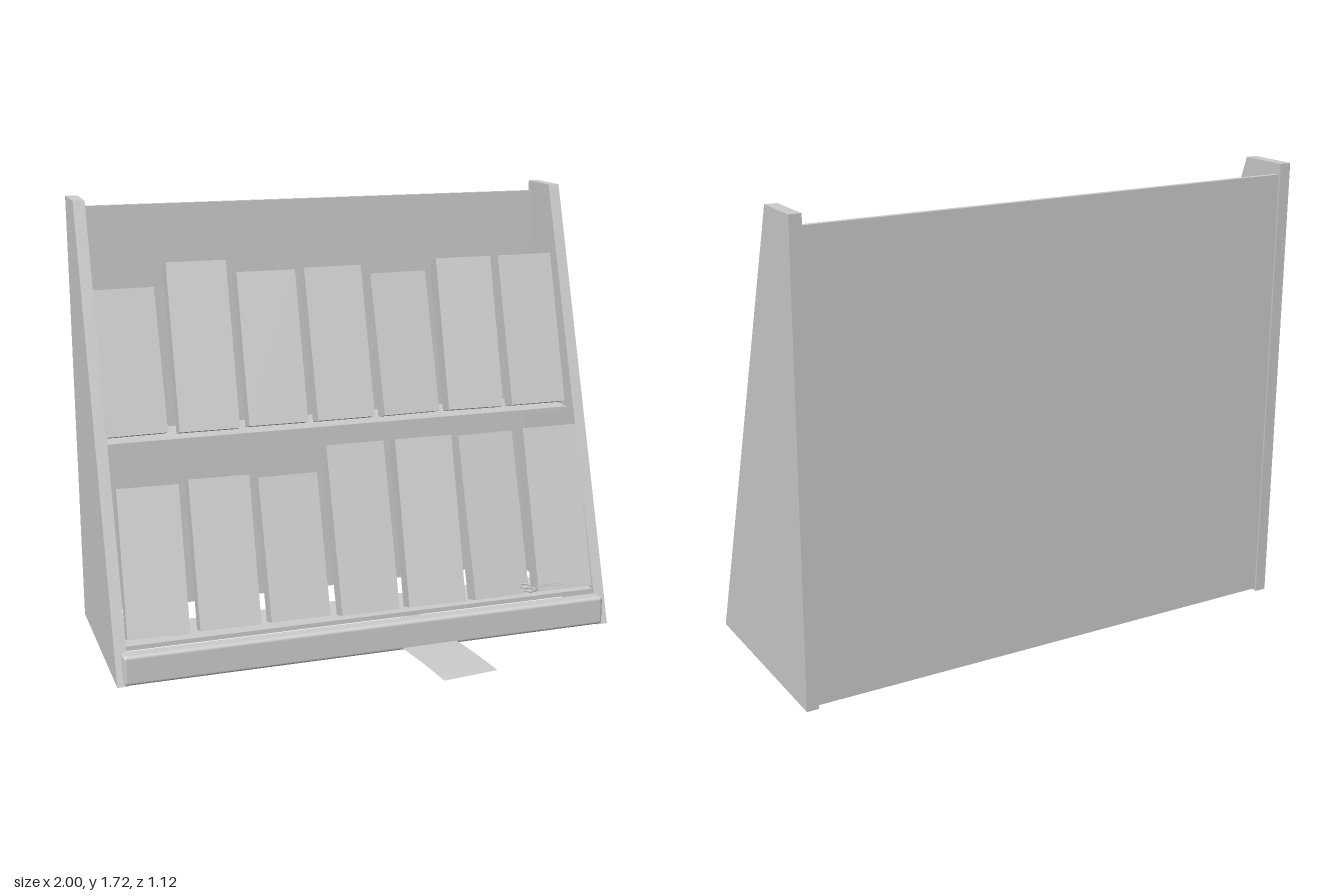
import * as THREE from 'three';
import { RoundedBoxGeometry } from 'three/addons/geometries/RoundedBoxGeometry.js';

export function createModel() {
  const model = new THREE.Group();
  const grey = new THREE.MeshStandardMaterial({ color: 0xcccccc });
  grey.name = 'matte grey';

  const add = (name, geometry, x = 0, y = 0, z = 0, parent = model) => {
    const mesh = new THREE.Mesh(geometry, grey);
    mesh.name = name;
    mesh.position.set(x, y, z);
    parent.add(mesh);
    return mesh;
  };
  const box = (w, h, d) => new THREE.BoxGeometry(w, h, d);

  // Sloped side panels: profile drawn in (-z, y), extruded along x
  const profile = new THREE.Shape();
  profile.moveTo(-0.215, 0);
  profile.lineTo(0.56, 0);
  profile.lineTo(0.56, 1.72);
  profile.lineTo(0.365, 1.72);
  profile.closePath();
  const side = new THREE.ExtrudeGeometry(profile, { depth: 0.045, bevelEnabled: false });
  side.rotateY(Math.PI / 2);
  add('leftSidePanel', side, 0.955);
  add('rightSidePanel', side, -1);

  // Back panel, shelves and the rounded front rail
  add('backPanel', box(1.92, 1.67, 0.02), 0, 0.845, -0.543);
  add('lowerShelf', box(1.92, 0.018, 0.2), 0, 0.126, 0.06);
  add('upperShelf', box(1.92, 0.018, 0.2), 0, 0.823, -0.23);
  add('frontRail', new RoundedBoxGeometry(1.95, 0.118, 0.062, 3, 0.014), 0, 0.06, 0.19);

  // Leaning boxes: [top height, front z at the base, small turn]
  const tilt = 0.3;
  const rows = [
    ['lowerBox', 0.155, [
      [0.69, 0.155, -0.04], [0.7, 0.152, -0.03], [0.685, 0.152, 0.01], [0.785, 0.172, 0.01],
      [0.785, 0.172, -0.03], [0.78, 0.174, 0.04], [0.785, 0.172, 0]]],
    ['upperBox', 0.857, [
      [1.39, -0.138, 0.03], [1.48, -0.122, -0.02], [1.43, -0.132, -0.02], [1.435, -0.13, 0],
      [1.4, -0.132, 0.03], [1.445, -0.13, -0.03], [1.445, -0.13, 0]]],
  ];
  for (const [name, base, items] of rows) {
    items.forEach(([top, z, turn], i) => {
      const height = (top - base) / Math.cos(tilt);
      const geometry = box(0.235, height, 0.075);
      geometry.translate(0, height / 2, -0.0375);
      const mesh = add(`${name}${i + 1}`, geometry, -0.828 + 0.276 * i, base, z);
      mesh.rotation.set(-tilt, turn, 0, 'YXZ');
    });
  }

  // Paper strip sliding out from beneath the rail, gently wavy
  const strip = new THREE.PlaneGeometry(0.226, 0.63, 1, 16).rotateX(-Math.PI / 2);
  const points = strip.attributes.position;
  for (let i = 0; i < points.count; i++) {
    points.setY(i, 0.003 * Math.sin(points.getZ(i) * 10));
  }
  strip.computeVertexNormals();
  const under = strip.clone();
  under.setIndex(Array.from(strip.index.array).reverse());
  under.computeVertexNormals();
  const paper = new THREE.Group();
  paper.name = 'paperStrip';
  add('paperTop', strip, 0, 0.002, 0, paper);
  add('paperUnderside', under, 0, 0, 0, paper);
  paper.position.set(0.226, 0.011, 0.235);
  paper.rotation.y = 0.12;
  model.add(paper);

  // Small scissors lying flat in front
  const scissors = new THREE.Group();
  scissors.name = 'scissors';
  scissors.position.set(0.62, 0.245, 0.333);
  model.add(scissors);
  for (const s of [-1, 1]) {
    const ring = new THREE.TorusGeometry(0.02, 0.004, 6, 20).rotateX(Math.PI / 2);
    add('fingerRing', ring, -0.035, 0, s * 0.022, scissors);
    const blade = new THREE.CylinderGeometry(0.002, 0.007, 0.14, 4, 1).rotateZ(-Math.PI / 2);
    blade.scale(1, 0.4, 1);
    const mesh = add('blade', blade, 0.07, 0, s * 0.009, scissors);
    mesh.rotation.y = -s * 0.12;
  }
  return model;
}
